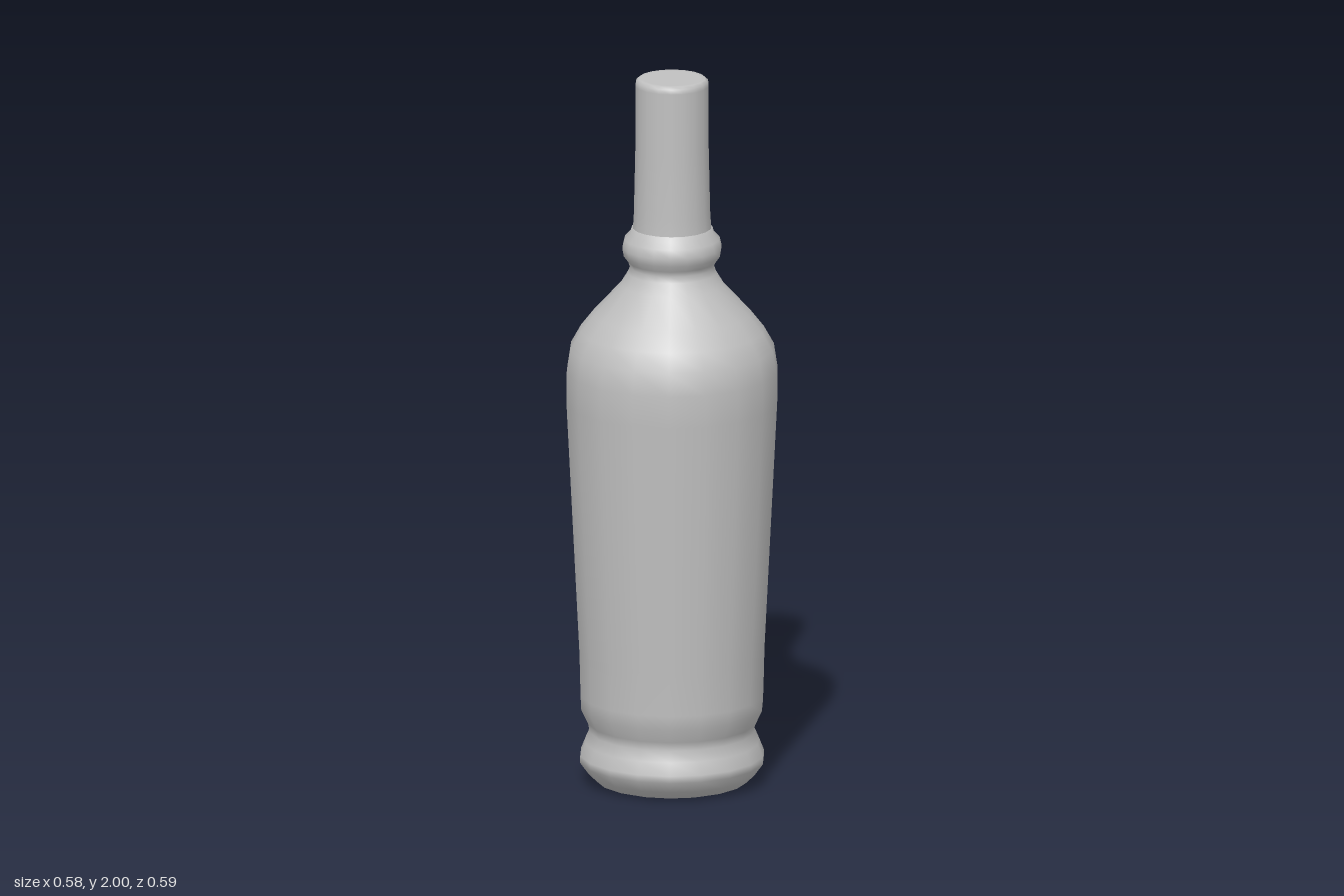
import * as THREE from 'three';

const SIDES = 18;

export function createModel() {
  const grey = new THREE.MeshStandardMaterial({ color: 0xc0c0c0 });
  grey.name = 'grey';
  const bottle = new THREE.Group();
  bottle.name = 'bottle';

  // Turns a [radius, height] profile, listed from bottom to top
  function turned(name, profile) {
    const points = profile.map(([r, y]) => new THREE.Vector2(r, y));
    const mesh = new THREE.Mesh(new THREE.LatheGeometry(points, SIDES), grey);
    mesh.name = name;
    bottle.add(mesh);
  }

  // Foot roll, tapered body, rounded shoulder and collar ring
  turned('body', [
    [0, 0], [0.19, 0], [0.21, 0.006], [0.232, 0.028], [0.255, 0.06], [0.255, 0.08],
    [0.241, 0.115], [0.228, 0.145], [0.233, 0.17], [0.252, 0.21], [0.254, 0.25],
    [0.257, 0.37], [0.293, 1.08], [0.293, 1.17], [0.283, 1.235], [0.255, 1.285],
    [0.218, 1.332], [0.142, 1.415], [0.122, 1.448], [0.116, 1.465], [0.121, 1.48],
    [0.134, 1.498], [0.138, 1.52], [0.132, 1.545], [0.116, 1.562], [0.112, 1.575],
    [0.104, 1.578],
  ]);

  // Straight neck with a closed, softly rounded top
  turned('neck', [
    [0.109, 1.572], [0.106, 1.62], [0.102, 1.8], [0.102, 1.98], [0.1, 1.993],
    [0.092, 2], [0.08, 2], [0, 2],
  ]);

  return bottle;
}
